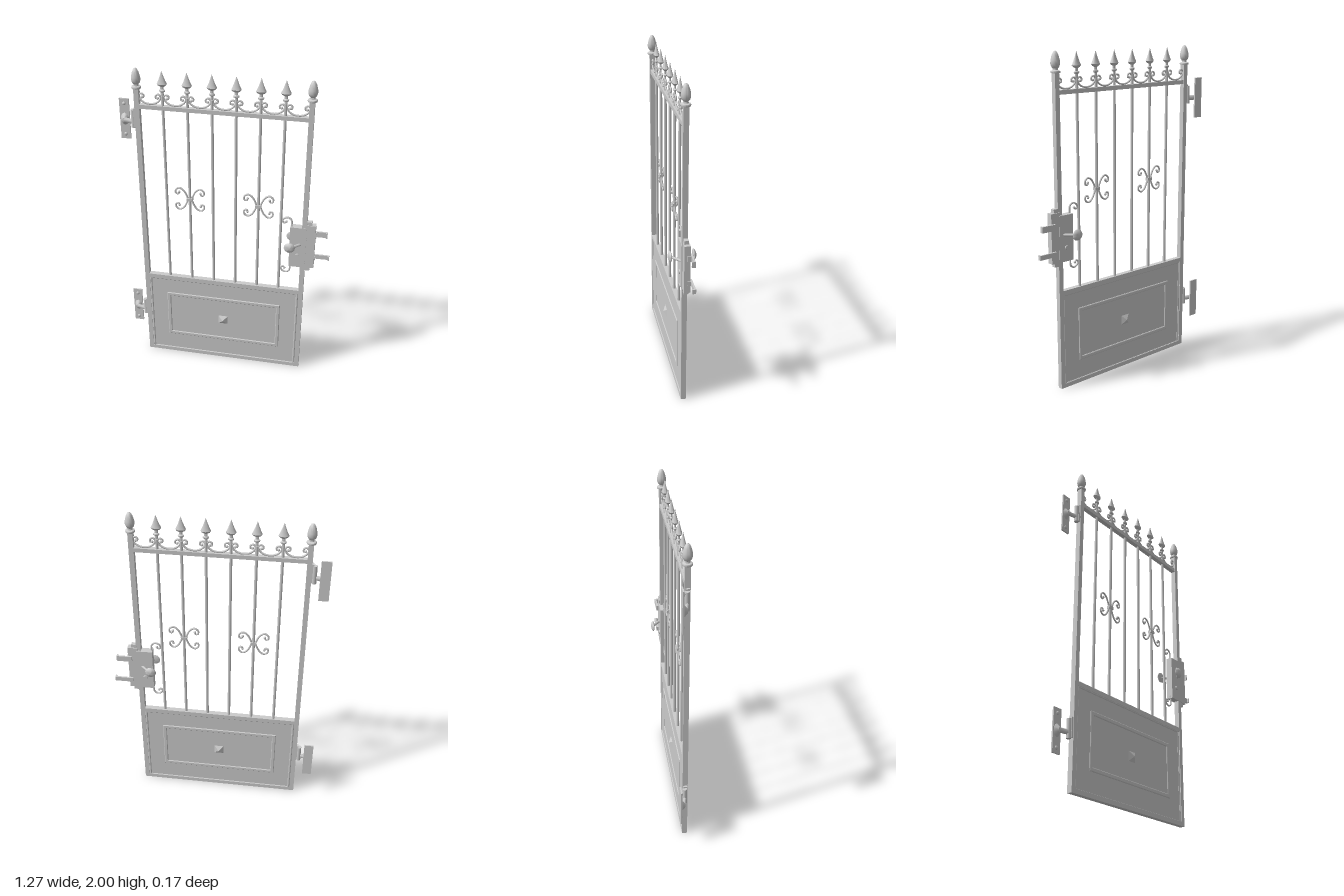
import * as THREE from 'three';
import { toCreasedNormals } from 'three/addons/utils/BufferGeometryUtils.js';

const mat = new THREE.MeshStandardMaterial({ color: 0xcccccc });
const Z = 0.004; // mid plane of the gate leaf
const LEFT = -0.515, RIGHT = 0.478, MID = (LEFT + RIGHT) / 2;
const BARS = [-0.365, -0.222, -0.08, 0.058, 0.196, 0.333];

export function createModel() {
  const gate = new THREE.Group();
  gate.name = 'gate';

  const add = (name, geo, x = 0, y = 0, z = Z, parent = gate) => {
    const m = new THREE.Mesh(geo, mat);
    m.name = name;
    m.position.set(x, y, z);
    parent.add(m);
    return m;
  };
  const box = (name, x0, x1, y0, y1, z0, z1, parent = gate) =>
    add(name, new THREE.BoxGeometry(x1 - x0, y1 - y0, z1 - z0),
      (x0 + x1) / 2, (y0 + y1) / 2, (z0 + z1) / 2, parent);
  const lathe = (pts, sides) => toCreasedNormals(
    new THREE.LatheGeometry(pts.map(p => new THREE.Vector2(...p)), sides), 0.7);
  const tube = (pts, r = 0.0055) => {
    const curve = new THREE.CatmullRomCurve3(pts.map(p => new THREE.Vector3(p[0], p[1], p[2] || 0)));
    return new THREE.TubeGeometry(curve, pts.length * 4, r, 6);
  };
  // Adds a small ball to the free end of a scroll
  const scroll = (name, pts, ends, x, y) => {
    const g = new THREE.Group();
    g.name = name;
    g.position.set(x, y, Z);
    add('scrollRod', tube(pts), 0, 0, 0, g);
    for (const p of ends) add('scrollEnd', new THREE.SphereGeometry(0.008, 8, 6), p[0], p[1], 0, g);
    gate.add(g);
  };

  // Posts with acorn finials
  const acorn = lathe([[0, 0], [0.026, 0], [0.028, 0.006], [0.026, 0.012], [0.015, 0.016], [0.014, 0.025],
    [0.022, 0.034], [0.027, 0.05], [0.026, 0.068], [0.019, 0.095], [0.01, 0.114], [0, 0.12]], 14);
  for (const x of [LEFT, RIGHT]) {
    box('post', x - 0.0145, x + 0.0145, 0, 1.882, Z - 0.0155, Z + 0.0155);
    add('postFinial', acorn, x, 1.88);
  }

  // Rails
  const rail = (name, y0, y1, d) => box(name, LEFT + 0.01, RIGHT - 0.01, y0, y1, Z - d, Z + d);
  rail('topRail', 1.762, 1.786, 0.014);
  rail('middleRail', 0.594, 0.62, 0.0155);
  rail('bottomRail', 0, 0.026, 0.0155);

  // Upright bars with spear heads
  const spear = lathe([[0, -0.01], [0.009, -0.01], [0.009, 0.035], [0.017, 0.04], [0.018, 0.047], [0.01, 0.053],
    [0.01, 0.068], [0.022, 0.074], [0.03, 0.084], [0.021, 0.102], [0.012, 0.125], [0.005, 0.146], [0, 0.16]], 10);
  for (const x of BARS) {
    add('bar', new THREE.CylinderGeometry(0.0085, 0.0085, 1.24, 8), x, 1.225);
    add('spearHead', spear, x, 1.832).scale.z = 0.6;
  }

  // Row of scrolls above the top rail
  const uHalf = [[0.03, 0.005], [0.055, 0.022], [0.064, 0.045], [0.052, 0.06], [0.036, 0.052], [0.037, 0.037], [0.047, 0.037]];
  const uPts = [...uHalf.map(([x, y]) => [-x, y]).reverse(), [0, 0], ...uHalf];
  const stops = [LEFT, ...BARS, RIGHT];
  for (let i = 0; i < stops.length - 1; i++)
    scroll('crestScroll', uPts, [uPts[0], uPts.at(-1)], (stops[i] + stops[i + 1]) / 2, 1.791);

  // Pairs of C scrolls back to back on two bars
  const cHalf = [[0.022, 0.03], [0.042, 0.062], [0.066, 0.073], [0.086, 0.058], [0.086, 0.037], [0.071, 0.032], [0.066, 0.045]];
  for (const x of [BARS[1], BARS[4]]) {
    for (const s of [-1, 1]) {
      const pts = [...cHalf.map(([a, b]) => [s * a, -b]).reverse(), [s * 0.013, 0], ...cHalf.map(([a, b]) => [s * a, b])];
      scroll('barScroll', pts, [pts[0], pts.at(-1)], x, 1.193);
    }
    box('scrollCollar', x - 0.018, x + 0.018, 1.184, 1.202, Z - 0.011, Z + 0.011);
  }

  // Lower sheet panel, mouldings and centre studs on both faces
  box('panelSheet', LEFT + 0.01, RIGHT - 0.01, 0.015, 0.6, Z - 0.0095, Z + 0.0095);
  const rect = (C, w, h) => {
    const s = new C();
    s.moveTo(-w, -h); s.lineTo(w, -h); s.lineTo(w, h); s.lineTo(-w, h); s.closePath();
    return s;
  };
  const moulding = (w, h, t, depth) => {
    const s = rect(THREE.Shape, w, h);
    s.holes.push(rect(THREE.Path, w - t, h - t));
    return new THREE.ExtrudeGeometry(s, { depth, bevelEnabled: true, bevelSize: 0.004, bevelThickness: 0.003, bevelOffset: -0.004, bevelSegments: 1 });
  };
  add('panelMoulding', moulding(0.37, 0.17, 0.024, 0.024), MID, 0.315, Z - 0.012);
  add('panelBorder', moulding(0.482, 0.292, 0.014, 0.021), MID, 0.307, Z - 0.0105);
  const stud = new THREE.ConeGeometry(0.045, 0.02, 4).rotateY(Math.PI / 4).rotateX(Math.PI / 2).toNonIndexed();
  stud.computeVertexNormals();
  for (const s of [-1, 1])
    add('panelStud', stud, MID, 0.312, Z + s * 0.0185).rotation.y = s > 0 ? 0 : Math.PI;

  // Hinges: wall plate, screws, arm and knuckle
  for (const y of [1.672, 0.32]) {
    const h = new THREE.Group();
    h.name = 'hinge';
    h.position.y = y;
    box('hingePlate', -0.635, -0.577, -0.125, 0.125, -0.037, -0.028, h);
    for (const d of [-0.095, 0.095])
      add('hingeScrew', new THREE.SphereGeometry(0.011, 10, 6), -0.606, d, -0.027, h).scale.z = 0.6;
    const boss = new THREE.CylinderGeometry(0.009, 0.026, 0.022, 10).rotateX(Math.PI / 2);
    add('hingeBoss', boss, -0.606, 0, -0.018, h).scale.y = 1.5;
    add('hingeArm', tube([[-0.606, 0, -0.012], [-0.58, 0, -0.008], [-0.55, 0, 0], [-0.52, 0, Z]], 0.011), 0, 0, 0, h).scale.y = 1.4;
    add('hingeKnuckle', new THREE.CylinderGeometry(0.014, 0.014, 0.11, 10), -0.545, 0.02, 0, h);
    box('hingeLug', -0.54, -0.515, -0.03, 0.085, -0.008, 0.016, h);
    gate.add(h);
  }

  // Lock case and strike plate
  box('lockCase', 0.393, 0.492, 0.802, 1.08, -0.02, 0.022);
  box('keeperBox', 0.485, 0.545, 0.802, 1.1, -0.018, 0.018);
  box('strikePlate', 0.49, 0.522, 0.778, 1.122, -0.012, 0.014);

  // Latch bolts with hooked tips
  for (const [y, x1, t] of [[1.022, 0.615, 0.018], [0.862, 0.635, 0.014]]) {
    box('latchArm', 0.52, x1, y - t, y + t, -0.031, -0.021);
    box('latchHook', x1 - 0.009, x1, y - t, y + t, -0.031, -0.01);
    box('latchRoot', 0.52, 0.55, y - t, y + t, -0.03, 0);
  }

  // Knobs and key plates on both faces
  const knob = lathe([[0, -0.006], [0.026, -0.008], [0.034, -0.004], [0.03, 0.003], [0.014, 0.01], [0, 0.013]], 14).rotateX(Math.PI / 2);
  for (const s of [-1, 1]) {
    add('knobStem', tube([[0.462, 0.963, s * 0.012], [0.443, 0.963, s * 0.03], [0.42, 0.963, s * 0.052], [0.4, 0.963, s * 0.073]], 0.009), 0, 0, 0);
    add('knob', knob, 0.398, 0.963, s * 0.071).rotation.y = s > 0 ? 0 : Math.PI;
    add('keyPlate', new THREE.CylinderGeometry(0.012, 0.014, 0.008, 10).rotateX(s * Math.PI / 2), 0.443, 0.885, s * 0.023 + 0.001);
  }

  // Curls above and below the lock case
  for (const s of [-1, 1]) {
    const pts = [[0.02, -0.02], [0.024, 0.01], [0.02, 0.04], [0, 0.053], [-0.024, 0.044], [-0.032, 0.024], [-0.02, 0.014], [-0.01, 0.024]]
      .map(([x, y]) => [x, s * y]);
    scroll('lockScroll', pts, [pts.at(-1)], 0.376, s > 0 ? 1.083 : 0.799);
  }
  return gate;
}
